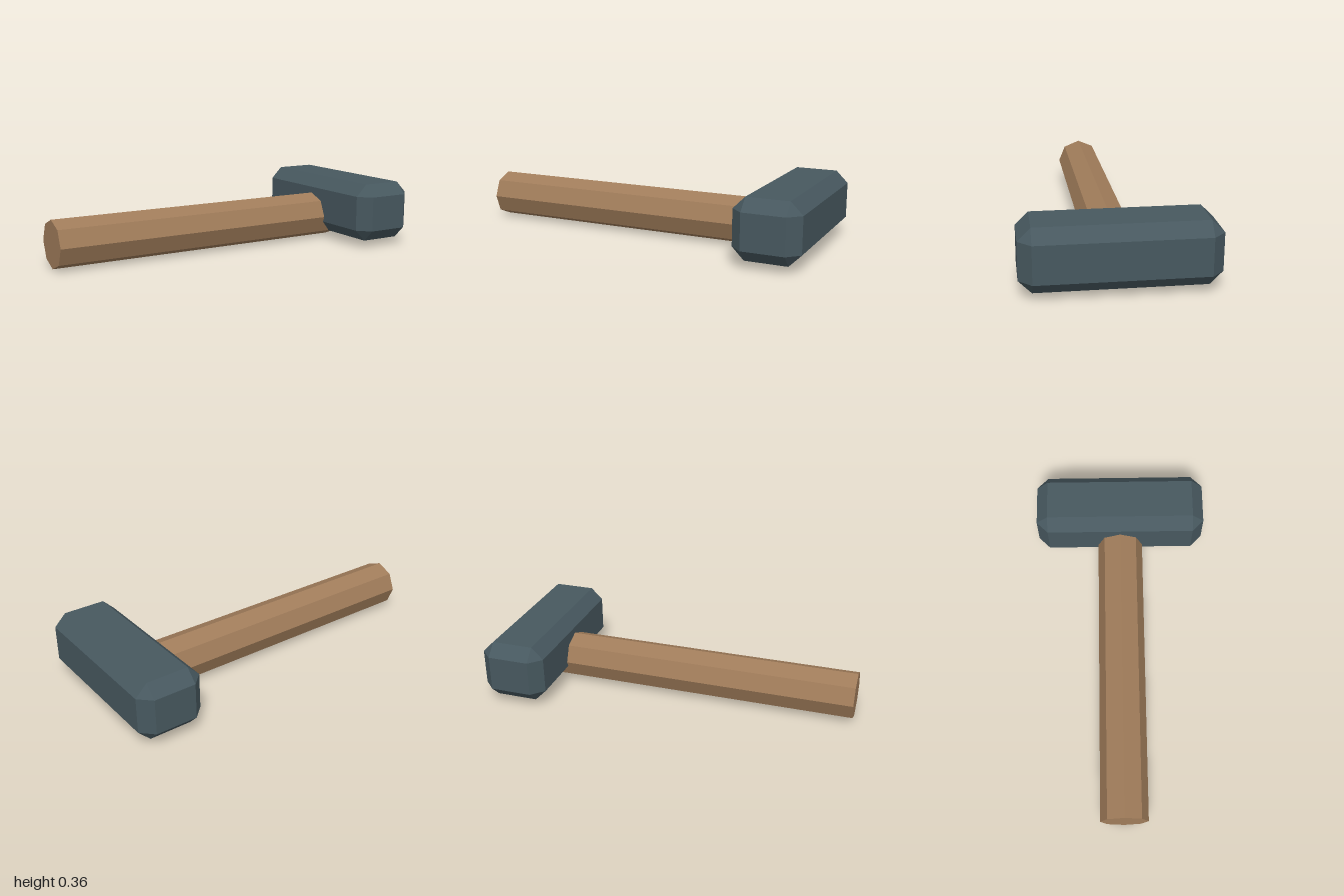
import * as THREE from 'three';
import { ConvexGeometry } from 'three/addons/geometries/ConvexGeometry.js';

// Box with every edge cut at 45 degrees and triangular corners
function chamferedBox(w, h, d, c) {
  const points = [];
  for (const sx of [-1, 1]) for (const sy of [-1, 1]) for (const sz of [-1, 1]) {
    for (let axis = 0; axis < 3; axis++) {
      const cut = [0, 1, 2].map((i) => (i === axis ? 0 : c));
      points.push(new THREE.Vector3(
        sx * (w / 2 - cut[0]), sy * (h / 2 - cut[1]), sz * (d / 2 - cut[2])));
    }
  }
  return new ConvexGeometry(points);
}

export function createModel() {
  const wood = new THREE.MeshStandardMaterial({ name: 'wood', color: 0xa07c5a, flatShading: true });
  const iron = new THREE.MeshStandardMaterial({ name: 'iron', color: 0x47585f, flatShading: true });
  const model = new THREE.Group();
  model.name = 'hammer';

  // Octagonal handle lying along x, one edge down
  const handleLength = 1.755;
  const handleGeometry = new THREE.CylinderGeometry(0.13, 0.13, handleLength, 8);
  handleGeometry.rotateZ(-Math.PI / 2);
  const handle = new THREE.Mesh(handleGeometry, wood);
  handle.name = 'handle';
  handle.position.set(-1 + handleLength / 2, 0.13, 0);
  model.add(handle);

  // Chamfered head across the end of the handle
  const head = new THREE.Mesh(chamferedBox(0.358, 0.324, 0.974, 0.065), iron);
  head.name = 'head';
  head.position.set(0.821, 0.198, 0);
  model.add(head);

  return model;
}
